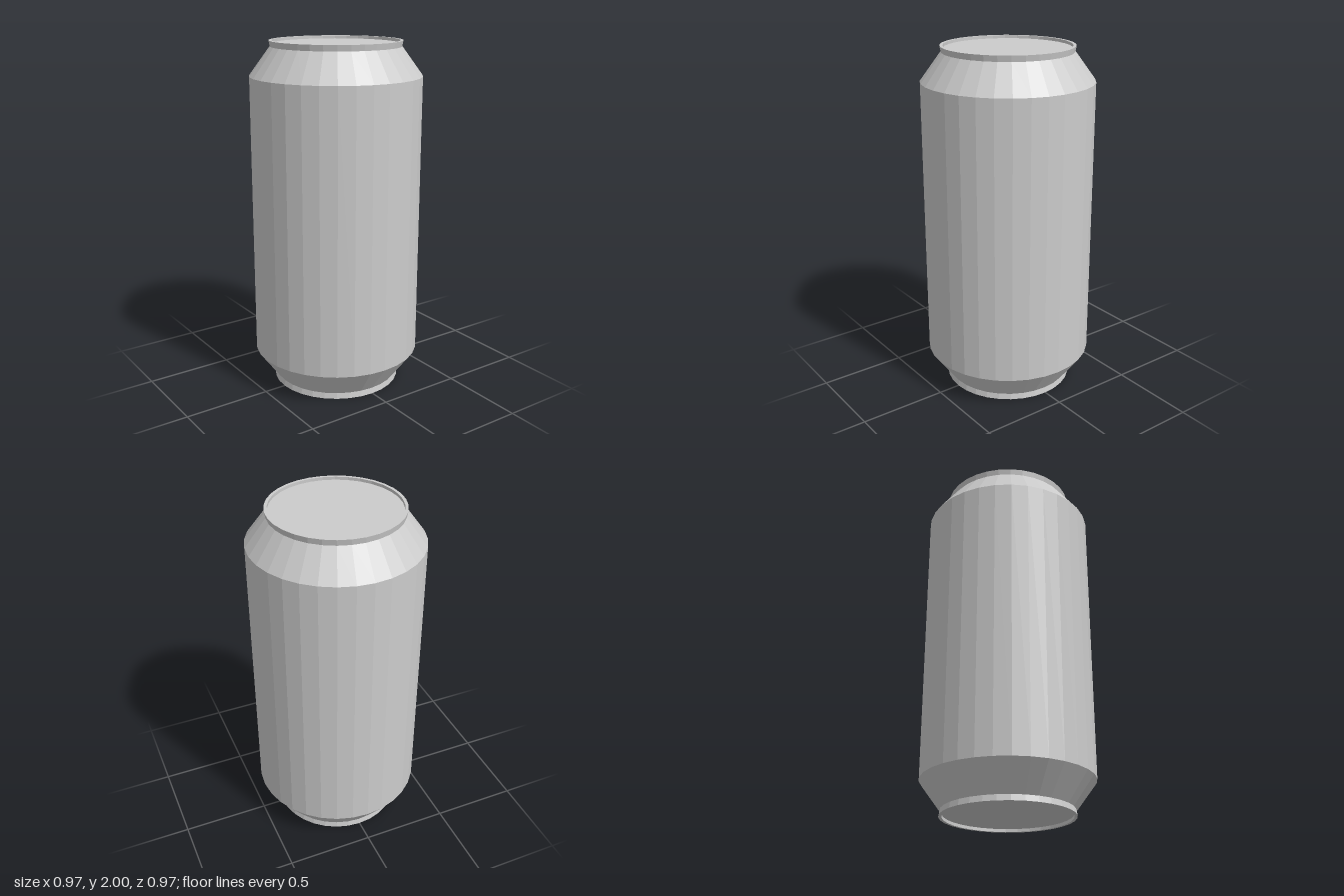
import * as THREE from 'three';

const SIDES = 32;
const R_BODY = 0.484, R_RIM = 0.372, R_NECK = 0.366, R_LID = 0.355;
const RECESS = 0.017;

export function createModel() {
  const group = new THREE.Group();
  const material = new THREE.MeshStandardMaterial({ color: 0xcccccc, flatShading: true });

  const add = (name, geometry) => {
    const mesh = new THREE.Mesh(geometry, material);
    mesh.name = name;
    group.add(mesh);
    return mesh;
  };
  // Profiles run from bottom to top so the faces point outward
  const lathe = (name, points) =>
    add(name, new THREE.LatheGeometry(points.map(([r, y]) => new THREE.Vector2(r, y)), SIDES));

  // Straight wall and the two tapers
  lathe('wall', [[R_BODY, 0.193], [R_BODY, 1.807]]);
  lathe('lowerTaper', [[R_NECK, 0.033], [R_BODY, 0.193]]);
  lathe('upperTaper', [[R_BODY, 1.807], [R_NECK, 1.967]]);

  // Raised rims with a shallow inner wall
  lathe('bottomRim', [[R_LID, RECESS], [R_LID, 0], [R_RIM, 0], [R_NECK, 0.033]]);
  lathe('topRim', [[R_NECK, 1.967], [R_RIM, 2], [R_LID, 2], [R_LID, 2 - RECESS]]);

  // Flat recessed ends
  const end = (name, y, tilt) => {
    const mesh = add(name, new THREE.CircleGeometry(R_LID, SIDES));
    mesh.rotation.x = tilt;
    mesh.position.y = y;
  };
  end('lid', 2 - RECESS, -Math.PI / 2);
  end('base', RECESS, Math.PI / 2);

  return group;
}
